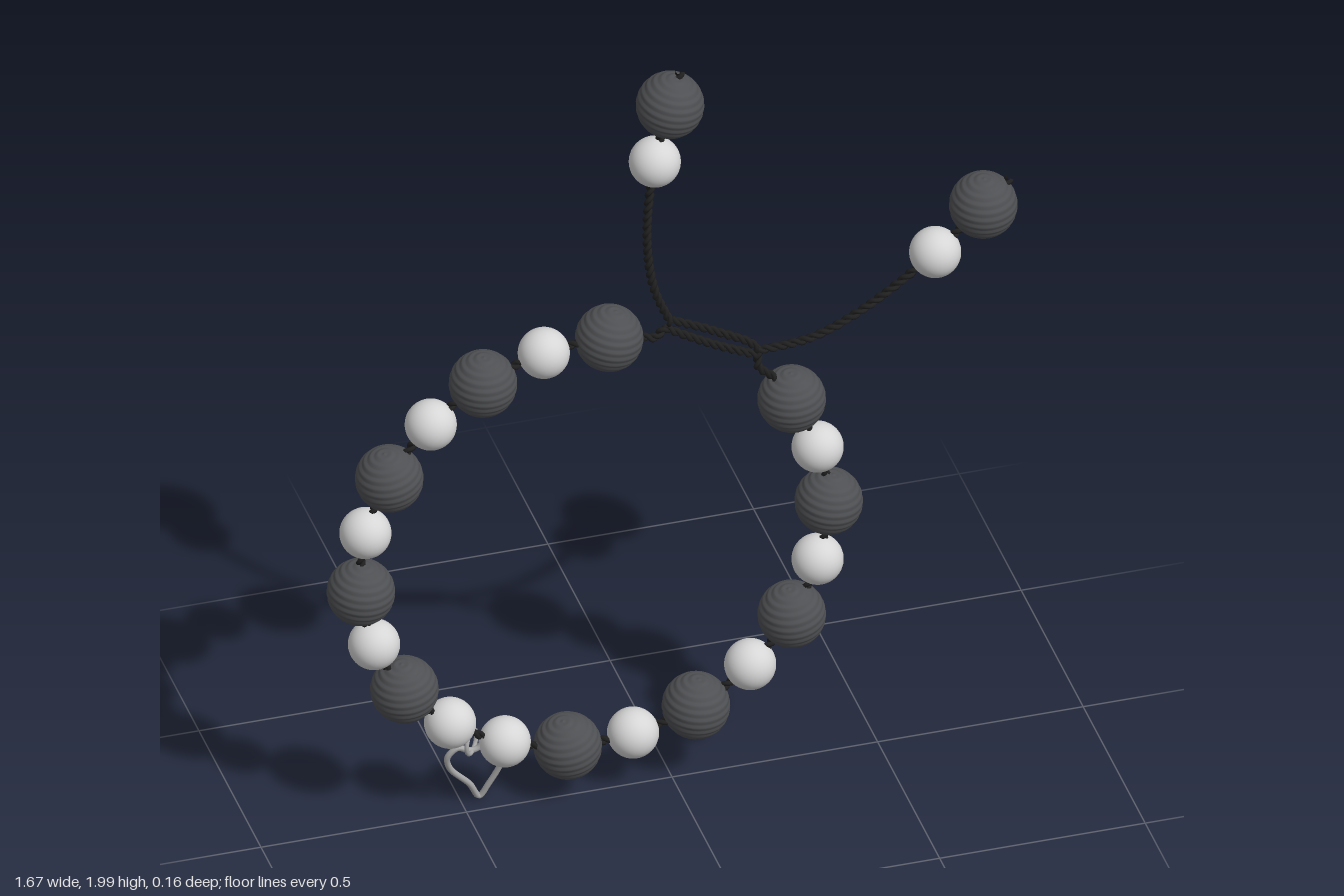
import * as THREE from 'three';

const mat = (name, color) => {
  const m = new THREE.MeshStandardMaterial({ color });
  m.name = name;
  return m;
};

// One strand wound around a planar centre line; phase separates the strands
class TwistedStrand extends THREE.Curve {
  constructor(base, phase) {
    super();
    base.arcLengthDivisions = 1200;
    this.base = base;
    this.phase = phase;
    this.turns = Math.round(base.getLength() / 0.045);
  }
  getUtoTmapping(u) { return u; }
  getPoint(t) {
    const p = this.base.getPointAt(t), d = this.base.getTangentAt(t);
    const a = this.phase + t * this.turns * Math.PI * 2, r = 0.0055;
    return new THREE.Vector3(
      p.x - d.y * Math.cos(a) * r,
      p.y + d.x * Math.cos(a) * r,
      p.z + Math.sin(a) * r);
  }
}

export function createModel() {
  const model = new THREE.Group();
  const stone = mat('dark stone', 0x4f5053);
  const silver = mat('pale bead', 0xd6d6d6);
  const cordMat = mat('black cord', 0x202020);
  const wire = mat('heart wire', 0xaaaaaa);

  const curve = (pts, closed = false) => new THREE.CatmullRomCurve3(
    pts.map(([x, y, z = 0]) => new THREE.Vector3(x, y, z)), closed);

  // Beads around the loop, from the left of the knot round to its right: [x, y, dark]
  const loop = [
    [-0.153, 1.278, 1], [-0.312, 1.267, 0], [-0.46, 1.21, 1], [-0.587, 1.119, 0],
    [-0.688, 0.987, 1], [-0.746, 0.844, 0], [-0.757, 0.68, 1], [-0.725, 0.526, 0],
    [-0.651, 0.384, 1], [-0.54, 0.267, 0], [-0.407, 0.188, 0], [-0.254, 0.146, 1],
    [-0.095, 0.151, 0], [0.058, 0.198, 1], [0.19, 0.288, 0], [0.291, 0.41, 1],
    [0.354, 0.553, 0], [0.381, 0.712, 1], [0.354, 0.87, 0], [0.291, 1.018, 1],
  ];
  const tails = [[-0.005, 1.907, 1], [-0.042, 1.754, 0], [0.757, 1.474, 1], [0.64, 1.363, 0]];

  // Dark beads carry fine raised bands
  const profile = [];
  const steps = 52;
  for (let i = 0; i <= steps; i++) {
    const a = -Math.PI / 2 + (i / steps) * Math.PI;
    const r = 0.079 + (i % 4 < 2 ? 0.0012 : -0.0008);
    profile.push(new THREE.Vector2(Math.max(0, Math.cos(a) * r), Math.sin(a) * r));
  }
  const darkGeo = new THREE.LatheGeometry(profile, 36);
  const paleGeo = new THREE.SphereGeometry(0.061, 32, 20);

  const addBeads = (list, label) => {
    const group = new THREE.Group();
    group.name = label;
    list.forEach(([x, y, dark], i) => {
      const bead = new THREE.Mesh(dark ? darkGeo : paleGeo, dark ? stone : silver);
      bead.name = dark ? 'darkBead' : 'paleBead';
      bead.position.set(x, y, 0);
      if (dark) bead.rotation.set(0.1, 0, ((i * 5) % 7 - 3) * 0.06);
      group.add(bead);
    });
    model.add(group);
  };
  addBeads(loop, 'loopBeads');
  addBeads(tails, 'tailBeads');

  // Twisted cord made of two strands
  const addCord = (pts, name) => {
    const base = curve(pts), group = new THREE.Group();
    group.name = name;
    for (const phase of [0, Math.PI]) {
      const strand = new TwistedStrand(base, phase);
      const geo = new THREE.TubeGeometry(strand, strand.turns * 9, 0.0062, 6);
      group.add(new THREE.Mesh(geo, cordMat));
    }
    group.children.forEach(m => { m.name = 'cordStrand'; });
    model.add(group);
  };
  // Loop cord, its two ends overlapping side by side at the closure
  addCord([
    [0.21, 1.157], [0.1, 1.21], [0, 1.268], [-0.018, 1.278], [-0.04, 1.258], [-0.075, 1.265],
    ...loop.map(([x, y]) => [x, y]),
    [0.245, 1.09], [0.21, 1.125], [0.205, 1.18], [0.11, 1.243], [0, 1.298],
  ], 'loopCord');
  addCord([
    [0.02, 1.995], [-0.005, 1.907], [-0.042, 1.754], [-0.061, 1.56],
    [-0.045, 1.4], [-0.002, 1.288],
  ], 'upperTailCord');
  addCord([
    [0.822, 1.535], [0.757, 1.474], [0.64, 1.363], [0.47, 1.24],
    [0.34, 1.182], [0.205, 1.17],
  ], 'sideTailCord');

  // Wire heart charm hanging slightly backwards
  const lean = ([x, y]) => [x, y, Math.min(0, (y - 0.2) * 0.25)];
  const heart = [
    [-0.455, 0.014], [-0.482, 0.06], [-0.535, 0.125], [-0.543, 0.165], [-0.52, 0.19],
    [-0.49, 0.175], [-0.47, 0.18], [-0.445, 0.215], [-0.41, 0.21], [-0.397, 0.17],
    [-0.41, 0.11], [-0.435, 0.05],
  ];
  const heartMesh = new THREE.Mesh(
    new THREE.TubeGeometry(curve(heart.map(lean), true), 120, 0.0075, 8, true), wire);
  heartMesh.name = 'heartCharm';
  model.add(heartMesh);

  // Small link from the heart to the cord
  const link = new THREE.Mesh(new THREE.TorusGeometry(0.03, 0.0055, 8, 24), wire);
  link.name = 'charmLink';
  link.position.set(-0.488, 0.203, 0);
  link.rotation.set(0, 0.9, -0.4);
  model.add(link);

  return model;
}
